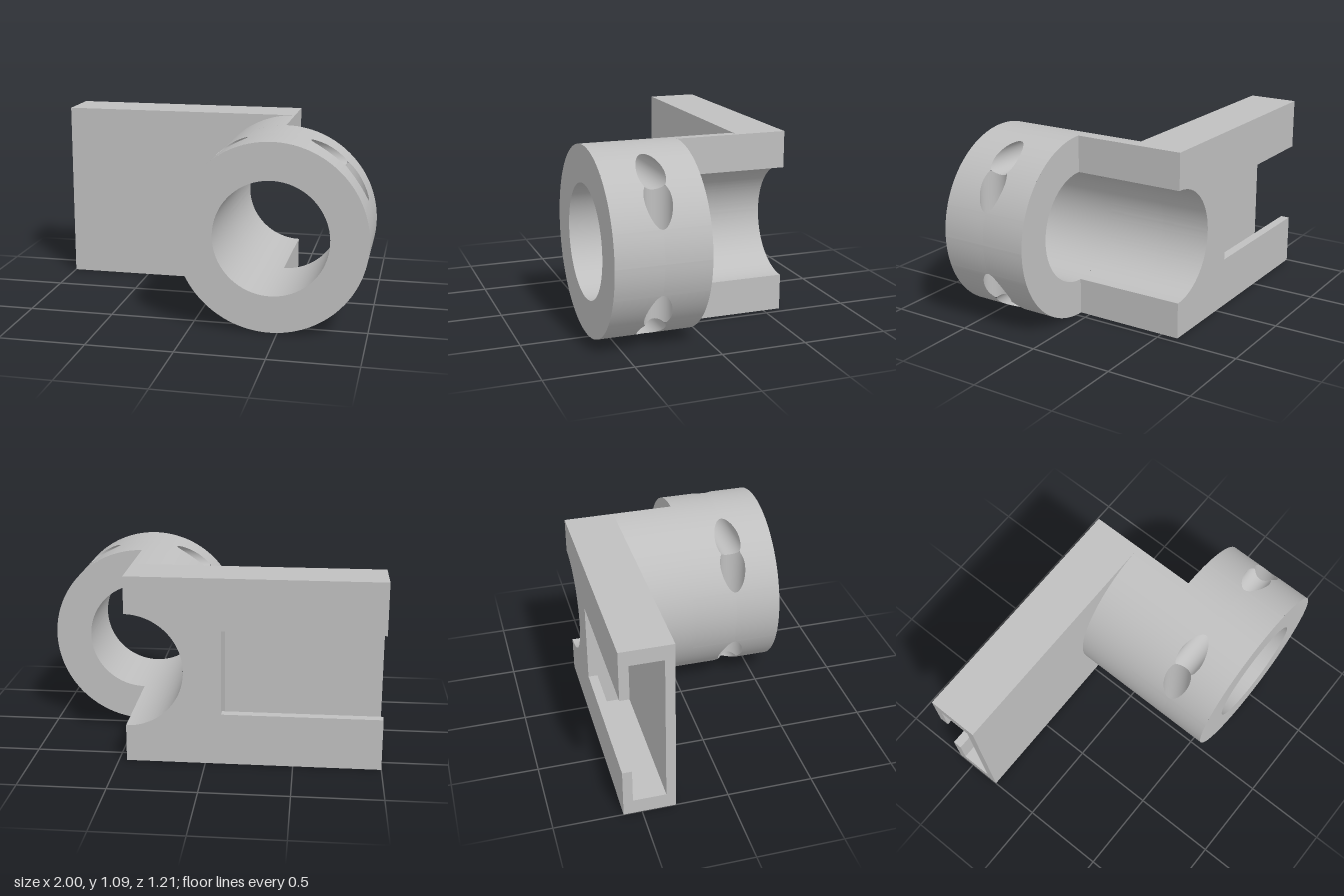
import * as THREE from 'three';
import { toCreasedNormals } from 'three/addons/utils/BufferGeometryUtils.js';

const R = 0.545, RI = 0.33;              // collar outer and bore radius
const CX = 0.455, CY = 0.545;            // collar axis
const BACK = -0.605, PLATE = -0.305, STEP = 0.06, FRONT = 0.605;
const PIN = 0.077, PIN_OFF = 0.437, PIN_Z = 0.33; // cross holes

// Smooth surface through an n by m grid of points f(i, j)
function grid(n, m, f) {
  const pos = [], idx = [];
  for (let i = 0; i <= n; i++) for (let j = 0; j <= m; j++) pos.push(...f(i, j));
  for (let i = 0; i < n; i++) for (let j = 0; j < m; j++) {
    const a = i * (m + 1) + j, b = a + m + 1;
    idx.push(a, b, b + 1, a, b + 1, a + 1);
  }
  const g = new THREE.BufferGeometry();
  g.setAttribute('position', new THREE.Float32BufferAttribute(pos, 3));
  g.setIndex(idx);
  g.computeVertexNormals();
  return g;
}

function extrude(shape, depth) {
  const g = new THREE.ExtrudeGeometry(shape, { depth, bevelEnabled: false, curveSegments: 64 });
  return toCreasedNormals(g, 0.5);
}

// Half width of the paired hole mouths at an angle round the collar
function mouth(theta) {
  const q = theta % (Math.PI / 2);
  const d = R * Math.sin(Math.max(q, Math.PI / 2 - q)) - PIN_OFF;
  return Math.sqrt(Math.max(0, PIN * PIN - d * d));
}

// Angles round the collar, denser near the ends of the hole mouths
function collarAngles() {
  const mid = Math.PI / 4, hi = Math.asin((PIN_OFF + PIN) / R), upper = [];
  for (let i = 0; i <= 24; i++) upper.push(mid + (hi - mid) * Math.sin(i / 24 * Math.PI / 2));
  for (let i = 1; i <= 6; i++) upper.push(hi + (Math.PI / 2 - hi) * i / 6);
  const quarter = [...upper.slice(1).reverse().map(a => Math.PI / 2 - a), ...upper];
  const all = [];
  for (let k = 0; k < 4; k++) for (const a of quarter.slice(0, -1)) all.push(a + k * Math.PI / 2);
  all.push(Math.PI * 2);
  return all;
}

export function createModel() {
  const model = new THREE.Group();
  const grey = new THREE.MeshStandardMaterial({ color: 0xbfbfbf });
  grey.name = 'grey';
  const add = (name, geo, parent, x = 0, y = 0, z = 0) => {
    const mesh = new THREE.Mesh(geo, grey);
    mesh.name = name;
    mesh.position.set(x, y, z);
    parent.add(mesh);
    return mesh;
  };

  // Collar, built round its own axis
  const collar = new THREE.Group();
  collar.name = 'collar';
  collar.position.set(CX, CY, 0);
  model.add(collar);

  // Outer wall, in front of and behind the hole mouths
  const angles = collarAngles();
  for (const side of [-1, 1]) {
    const geo = grid(angles.length - 1, 1, (i, j) => {
      const t = angles[i], edge = PIN_Z + side * mouth(t);
      const z = side < 0 ? (j ? edge : STEP) : (j ? FRONT : edge);
      return [R * Math.cos(t), R * Math.sin(t), z];
    });
    add(side < 0 ? 'collarWallBack' : 'collarWallFront', geo, collar);
  }

  // Bore and end faces
  add('collarBore', grid(128, 1, (i, j) => {
    const t = -i / 128 * Math.PI * 2;
    return [RI * Math.cos(t), RI * Math.sin(t), j ? FRONT : STEP];
  }), collar);
  add('collarFrontFace', new THREE.RingGeometry(RI, R, 128), collar, 0, 0, FRONT);
  const backFace = new THREE.RingGeometry(RI, R, 64, 1, Math.PI / 2, Math.PI).rotateY(Math.PI);
  add('collarBackFace', backFace, collar, 0, 0, STEP);

  // Four straight cross holes, meeting at the corners
  for (let k = 0; k < 4; k++) {
    const geo = grid(64, 2, (i, j) => {
      const t = i / 64 * Math.PI * 2, y = PIN_OFF + PIN * Math.cos(t);
      const reach = Math.min(Math.sqrt(R * R - y * y), PIN_OFF - PIN * Math.abs(Math.cos(t)));
      return [(1 - j) * reach, y, PIN_Z + PIN * Math.sin(t)];
    });
    add('crossHole', geo, collar).rotation.z = k * Math.PI / 2;
  }

  // Half sleeve joining the collar to the plate
  const half = new THREE.Shape();
  half.absarc(0, 0, R, Math.PI / 2, Math.PI * 1.5, false);
  half.lineTo(0, -RI);
  half.absarc(0, 0, RI, Math.PI * 1.5, Math.PI / 2, true);
  half.closePath();
  add('halfSleeve', extrude(half, STEP - PLATE), model, CX, CY, PLATE);

  // Solid end of the plate with the half-round cut
  const block = new THREE.Shape();
  block.moveTo(0, R);
  block.lineTo(-R, R);
  block.lineTo(-R, -R);
  block.lineTo(0, -R);
  block.lineTo(0, -RI);
  block.absarc(0, 0, RI, Math.PI * 1.5, Math.PI / 2, true);
  block.closePath();
  add('plateEnd', extrude(block, PLATE - BACK), model, CX, CY, BACK);

  // Channel part of the plate: C section open at the back and at the end
  const section = new THREE.Shape([
    [0.305, 0], [0.605, 0], [0.605, 0.3], [0.55, 0.3], [0.55, 0.09], [0.36, 0.09],
    [0.36, 1.0], [0.55, 1.0], [0.55, 0.79], [0.605, 0.79], [0.605, 1.09], [0.305, 1.09],
  ].map(([x, y]) => new THREE.Vector2(x, y)));
  add('plateChannel', extrude(section, CX - R + 1).rotateY(Math.PI / 2), model, -1, 0, 0);

  return model;
}
